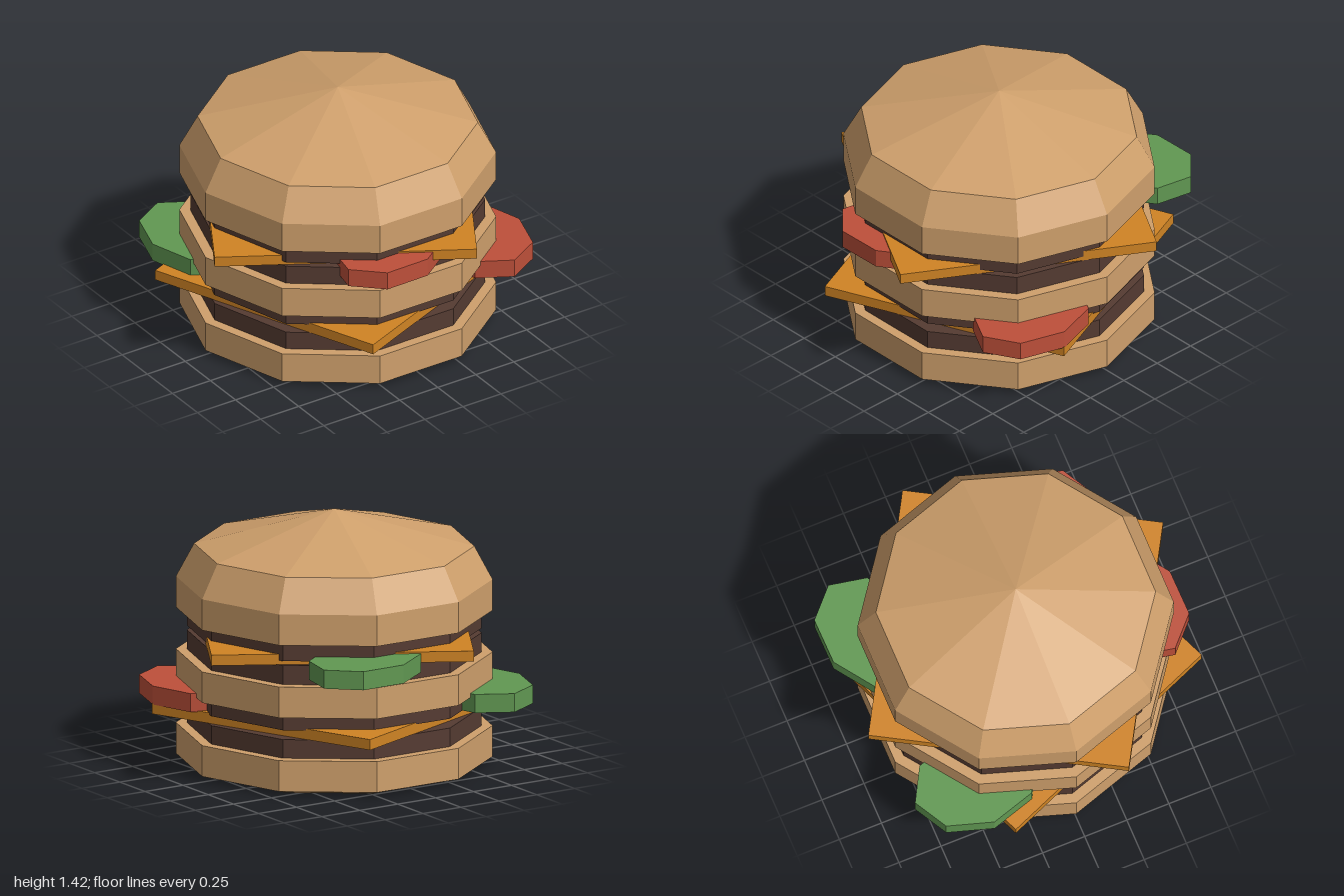
import * as THREE from 'three';

const colour = (name, hex) => {
  const m = new THREE.MeshStandardMaterial({ color: hex });
  m.name = name;
  return m;
};

export function createModel() {
  const group = new THREE.Group();
  const bun = colour('bun tan', 0xcfa06c);
  const meat = colour('patty brown', 0x553b32);
  const cheese = colour('cheese orange', 0xd08424);
  const tomato = colour('tomato red', 0xbe503a);
  const pickle = colour('pickle green', 0x619852);

  // Adds a faceted mesh with hard edges
  const add = (name, geometry, material, x, y, z, turn = 0) => {
    const flat = geometry.index ? geometry.toNonIndexed() : geometry;
    flat.computeVertexNormals();
    const mesh = new THREE.Mesh(flat, material);
    mesh.name = name;
    mesh.position.set(x, y, z);
    mesh.rotation.y = THREE.MathUtils.degToRad(turn);
    group.add(mesh);
  };

  // Ten-sided round layer from [radius, height] pairs, bottom to top
  const layer = (name, material, profile) => {
    const points = profile.map(([r, y]) => new THREE.Vector2(r, y));
    add(name, new THREE.LatheGeometry(points, 10, Math.PI / 10), material, 0, 0, 0.005);
  };

  // Buns
  layer('bottomBun', bun, [[0, 0], [0.77, 0], [0.87, 0.03], [0.87, 0.205], [0, 0.205]]);
  layer('middleBun', bun, [[0, 0.447], [0.87, 0.447], [0.87, 0.622], [0, 0.622]]);
  layer('topBun', bun, [[0, 0.858], [0.87, 0.858], [0.87, 1.033], [0.77, 1.22], [0, 1.425]]);

  // Two patties in each filling, with a gap for the cheese
  [[0.2, 0.31], [0.363, 0.46], [0.615, 0.73], [0.755, 0.865]].forEach(([low, high], i) =>
    layer(`patty${i + 1}`, meat, [[0, low], [0.81, low], [0.81, high], [0, high]]));

  // Square cheese slices
  const slice = new THREE.BoxGeometry(1.443, 0.06, 1.443);
  add('lowerCheese', slice, cheese, 0, 0.342, 0.005, 22.5);
  add('upperCheese', slice, cheese, 0, 0.76, 0.005, -30);

  // Oval eight-sided slices poking out of the fillings
  const oval = new THREE.CylinderGeometry(1, 1, 0.105, 8).scale(0.27, 1, 0.36);
  add('lowerTomato', oval, tomato, 0.67, 0.418, 0.39);
  add('lowerPickle', oval, pickle, -0.62, 0.418, -0.49);
  add('upperTomato', oval, tomato, -0.095, 0.728, 0.66, -72);
  add('upperPickle', oval, pickle, 0.29, 0.728, -0.735, -72);

  return group;
}
